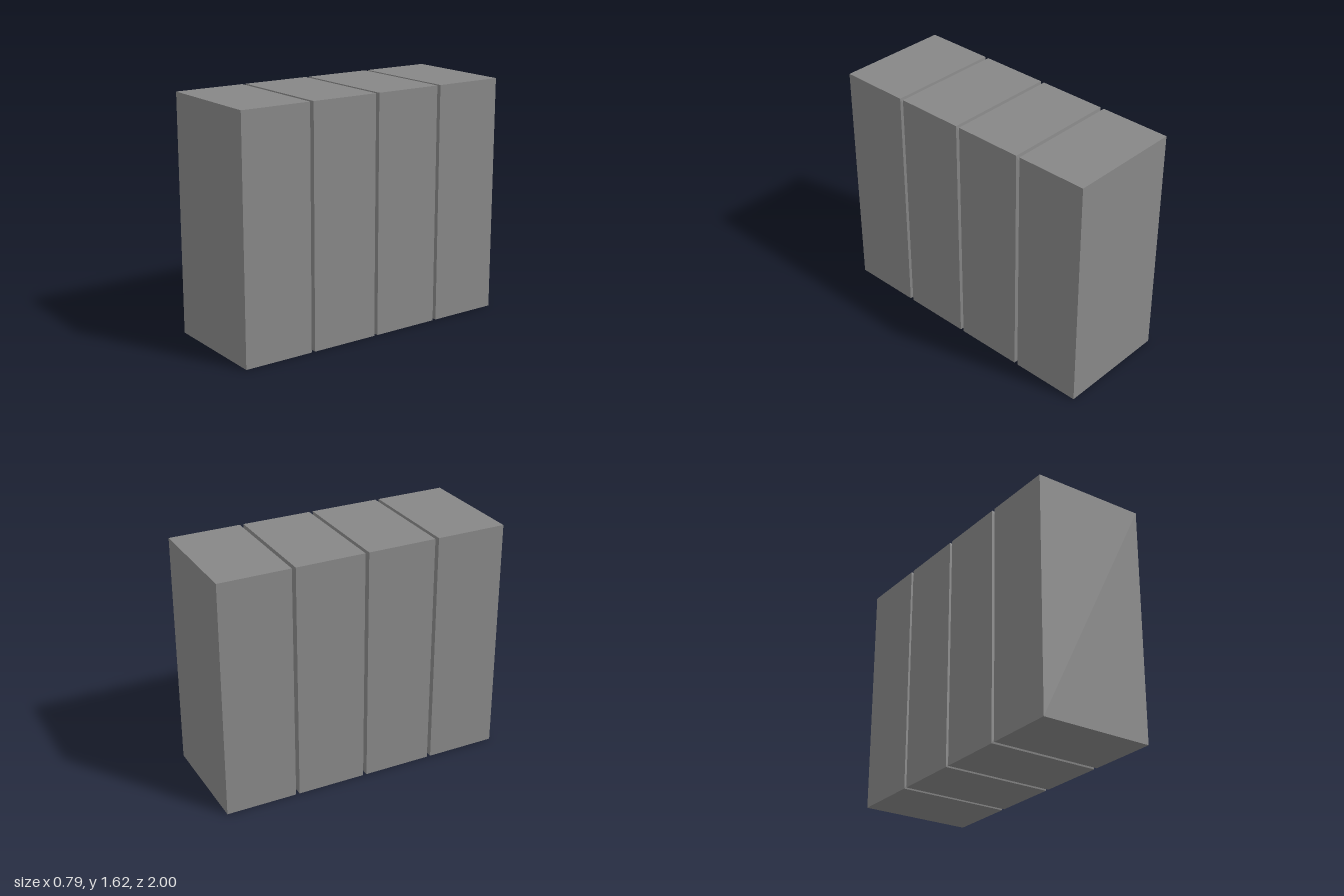
import * as THREE from 'three';

const WIDTH = 0.785, HEIGHT = 1.62, LENGTH = 2, SLABS = 4;
const TAPER = 0.013;   // length of the tapered rim on a joining face
const SHRINK = 0.895;  // size of the joining face relative to the slab

// Slab with tapered ends wherever it meets a neighbour
function slabGeometry(z0, z1, taperBack, taperFront) {
  const stations = [
    { z: z0, s: taperBack ? SHRINK : 1 },
    { z: z0 + TAPER, s: 1 },
    { z: z1 - TAPER, s: 1 },
    { z: z1, s: taperFront ? SHRINK : 1 },
  ];
  const box = new THREE.BoxGeometry(WIDTH, HEIGHT, 3, 1, 1, 3);
  const p = box.attributes.position;
  for (let i = 0; i < p.count; i++) {
    const { z, s } = stations[Math.round(p.getZ(i) + 1.5)];
    p.setXYZ(i, p.getX(i) * s, p.getY(i) * s, z);
  }
  const geometry = box.toNonIndexed();
  geometry.computeVertexNormals();
  return geometry;
}

export function createModel() {
  const group = new THREE.Group();
  group.name = 'slabStack';
  const material = new THREE.MeshStandardMaterial({ color: 0x878787, flatShading: true });
  const depth = LENGTH / SLABS;

  // Row of slabs from back to front, leaving V-shaped grooves between them
  for (let i = 0; i < SLABS; i++) {
    const z0 = -LENGTH / 2 + i * depth;
    const slab = new THREE.Mesh(slabGeometry(z0, z0 + depth, i > 0, i < SLABS - 1), material);
    slab.name = `slab${i + 1}`;
    slab.position.y = HEIGHT / 2;
    group.add(slab);
  }
  return group;
}
